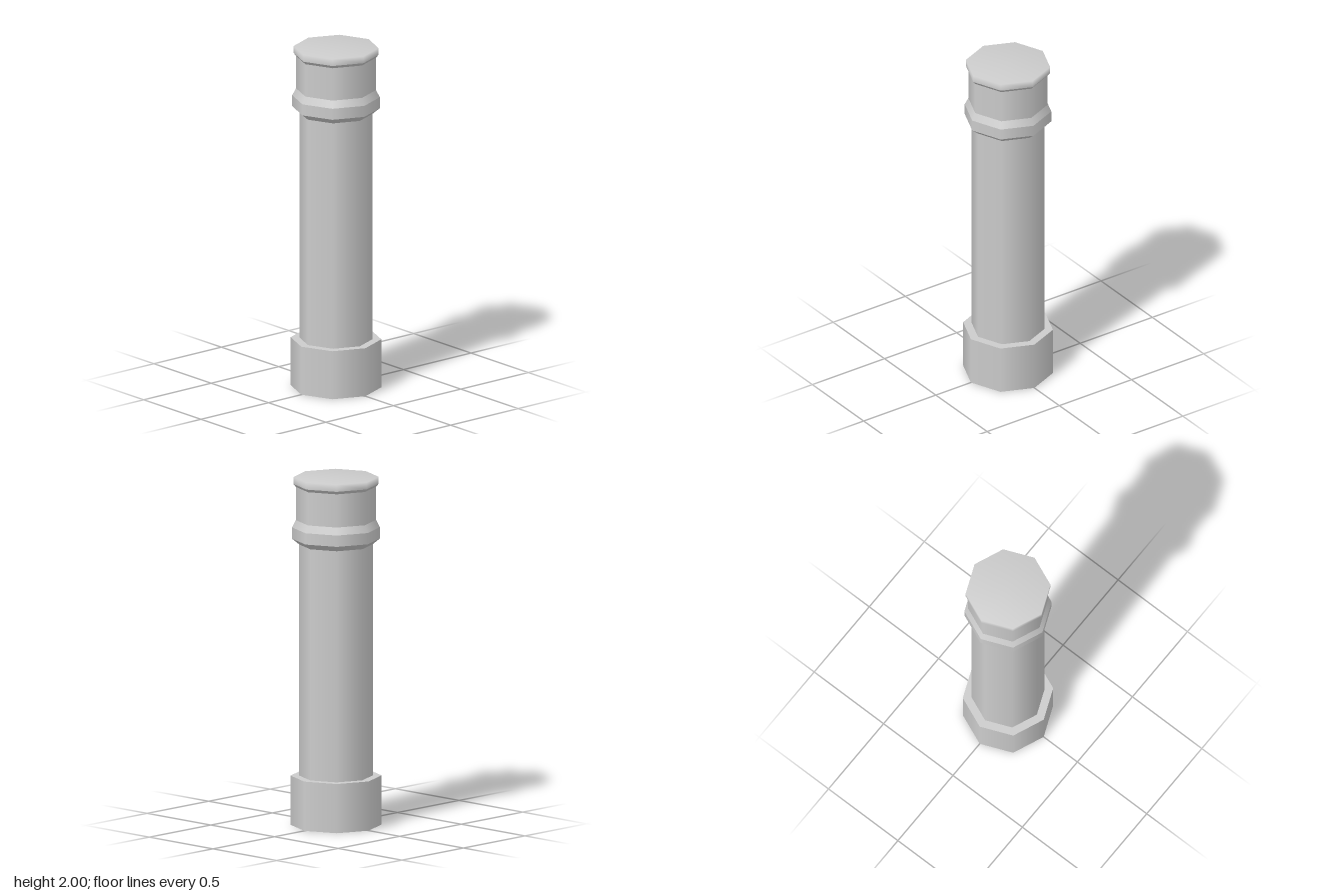
import * as THREE from 'three';

const SIDES = 8;

export function createModel() {
  const group = new THREE.Group();
  group.name = 'bollard';
  const grey = new THREE.MeshStandardMaterial({ color: 0xcccccc });
  grey.name = 'light grey';

  // One octagonal band, smooth around the post, turned from [radius, height] points
  function band(parent, points) {
    const profile = points.map(([r, y]) => new THREE.Vector2(r, y));
    const mesh = new THREE.Mesh(new THREE.LatheGeometry(profile, SIDES), grey);
    mesh.name = parent.name + 'Band';
    parent.add(mesh);
  }

  // A part made of bands that meet at sharp edges
  function part(name, points) {
    const g = new THREE.Group();
    g.name = name;
    for (let i = 1; i < points.length; i++) band(g, [points[i - 1], points[i]]);
    group.add(g);
    return g;
  }

  // Wide foot with closed underside and flat ledge
  part('base', [[0, 0], [0.257, 0], [0.257, 0.283], [0.208, 0.283]]);

  // Long main post
  part('shaft', [[0.208, 0.283], [0.208, 1.612]]);

  // Bevelled ring around the post
  part('collar', [[0.208, 1.612], [0.248, 1.645], [0.248, 1.71], [0.227, 1.752]]);

  // Short neck above the collar
  part('neck', [[0.227, 1.752], [0.227, 1.943]]);

  // Top cap: flared lip, then rim blending softly into the flat top
  const cap = part('cap', [[0.227, 1.943], [0.241, 1.96]]);
  band(cap, [[0.241, 1.96], [0.241, 2], [0, 2]]);

  return group;
}
